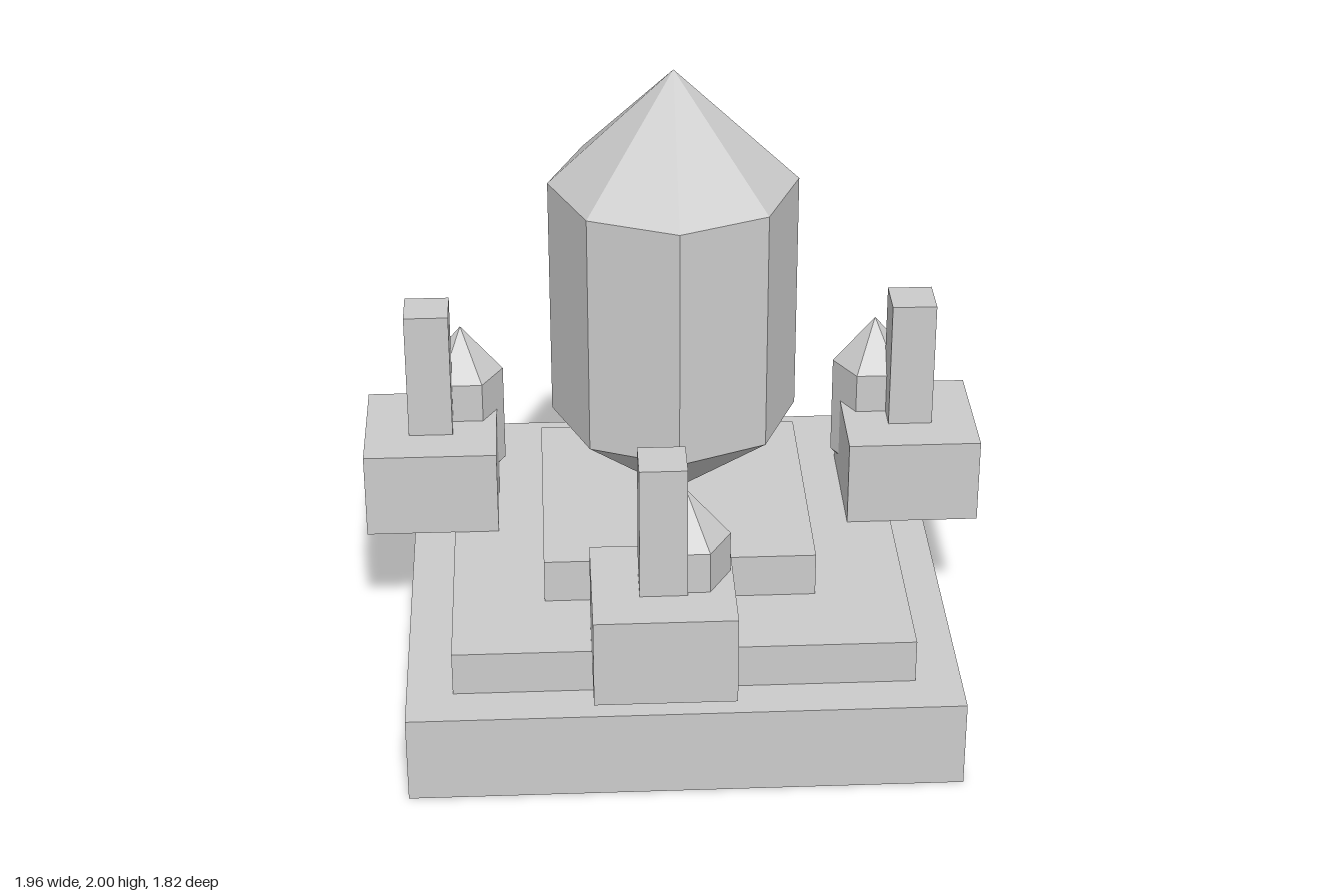
import * as THREE from 'three';

const material = new THREE.MeshStandardMaterial({ color: 0xcccccc, flatShading: true });

export function createModel() {
  const model = new THREE.Group();
  const centreZ = -0.07;

  function add(parent, name, geometry, x, y, z) {
    const mesh = new THREE.Mesh(geometry, material);
    mesh.name = name;
    mesh.position.set(x, y, z);
    parent.add(mesh);
    return mesh;
  }

  // Square block standing on height y
  function block(parent, name, width, height, x, y, z) {
    return add(parent, name, new THREE.BoxGeometry(width, height, width), x, y + height / 2, z);
  }

  // Faceted prism pointed at both ends; heights run from lower tip to upper tip
  function crystal(parent, name, sides, radius, [tip, low, high, peak], x, z) {
    const profile = [[0, tip], [radius, low], [radius, high], [0, peak]]
      .map(([r, y]) => new THREE.Vector2(r, y));
    const geometry = new THREE.LatheGeometry(profile, sides, Math.PI / 2).toNonIndexed();
    geometry.computeVertexNormals();
    return add(parent, name, geometry, x, 0, z);
  }

  // Stepped base
  block(model, 'lowerStep', 1.68, 0.28, 0, 0, centreZ);
  block(model, 'middleStep', 1.4, 0.14, 0, 0.28, centreZ);
  block(model, 'upperStep', 0.835, 0.14, 0, 0.42, centreZ);

  // Large central crystal
  crystal(model, 'mainCrystal', 8, 0.38, [0.56, 0.87, 1.64, 2], 0, centreZ);

  // Three shrines: pedestal, pillar and small embedded crystal
  const shrines = [
    { name: 'rightShrine', x: -0.77, z: -0.28, cx: -0.67, cz: -0.41 },
    { name: 'leftShrine', x: 0.77, z: -0.28, cx: 0.67, cz: -0.41 },
    { name: 'frontShrine', x: -0.07, z: 0.7, cx: 0, cz: 0.64 },
  ];
  for (const { name, x, z, cx, cz } of shrines) {
    const shrine = new THREE.Group();
    shrine.name = name;
    block(shrine, 'pedestal', 0.42, 0.28, x, 0.42, z);
    block(shrine, 'pillar', 0.14, 0.42, x, 0.7, z);
    crystal(shrine, 'smallCrystal', 6, 0.133, [0.365, 0.5, 0.83, 0.985], cx, cz);
    model.add(shrine);
  }

  return model;
}
